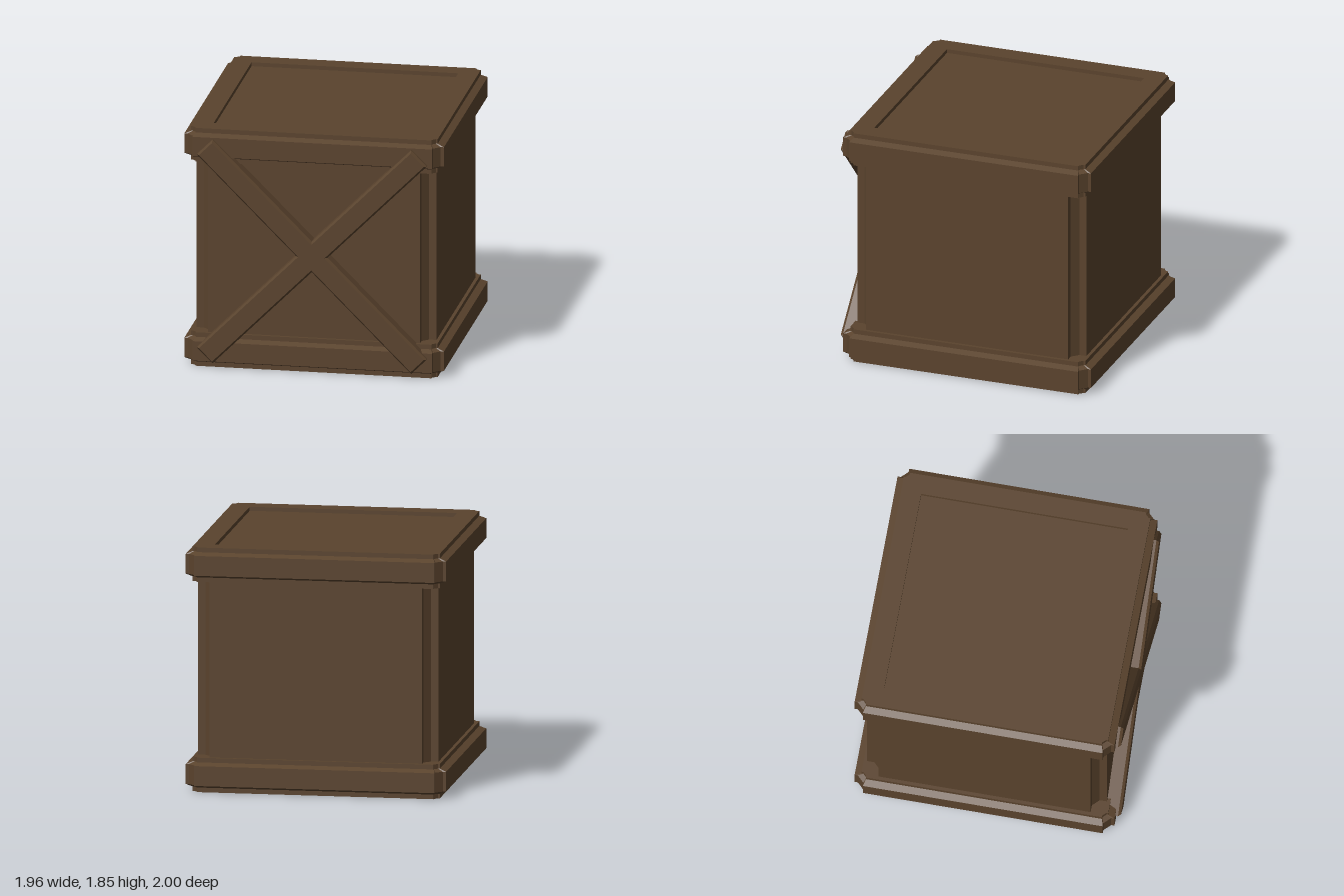
import * as THREE from 'three';

const wood = new THREE.MeshStandardMaterial({ color: 0x5a432d });
wood.name = 'dark wood';

// Square outline of half width h; corners notched by c, with a chamfered inner corner of step s
function ring([y, h, c, s]) {
  const points = [];
  let corner = [[h, h - c], [h - s, h - c], [h - c, h - s], [h - c, h]];
  for (let k = 0; k < 4; k++) {
    corner.forEach(([x, z]) => points.push([x, y, z]));
    corner = corner.map(([x, z]) => [-z, x]);
  }
  return points;
}

// Stacks the outlines from bottom to top, with caps at both ends
function stack(name, levels) {
  const rings = levels.map(ring);
  const pos = [];
  const tri = (...corners) => corners.forEach((p) => pos.push(...p));
  const last = rings.length - 1;
  const low = [0, levels[0][0], 0];
  const high = [0, levels[last][0], 0];
  for (let i = 0; i < 16; i++) {
    const j = (i + 1) % 16;
    for (let r = 0; r < last; r++) {
      const a = rings[r], b = rings[r + 1];
      tri(a[i], b[i], b[j]);
      tri(a[i], b[j], a[j]);
    }
    tri(rings[0][i], rings[0][j], low);
    tri(rings[last][i], high, rings[last][j]);
  }
  const geometry = new THREE.BufferGeometry();
  geometry.setAttribute('position', new THREE.Float32BufferAttribute(pos, 3));
  geometry.computeVertexNormals();
  const mesh = new THREE.Mesh(geometry, wood);
  mesh.name = name;
  return mesh;
}

// Bevelled band: narrow lips below and above a wide middle
function band(y) {
  const lip = [0.93, 0.04, 0.013], wide = [0.98, 0.075, 0.025];
  return [
    [y, ...lip], [y + 0.035, ...lip], [y + 0.055, ...wide],
    [y + 0.205, ...wide], [y + 0.225, ...lip], [y + 0.26, ...lip],
  ];
}

// Crossed boards in one piece, bevelled at the front
function crossBrace() {
  const w = 0.07, l = 1.13;
  const shape = new THREE.Shape();
  let arm = [[w, w], [l, w], [l, -w], [w, -w]].reverse().slice(0, 3);
  const points = [];
  for (let k = 0; k < 4; k++) {
    points.push(...arm.map(([x, y]) => new THREE.Vector2(x, y)));
    arm = arm.map(([x, y]) => [-y, x]);
  }
  shape.setFromPoints(points);
  shape.closePath();
  const geometry = new THREE.ExtrudeGeometry(shape, {
    depth: 0.095, bevelEnabled: true, bevelSegments: 1, bevelSize: 0.014, bevelThickness: 0.02,
  });
  const mesh = new THREE.Mesh(geometry, wood);
  mesh.name = 'crossBrace';
  mesh.rotation.z = Math.PI / 4;
  mesh.position.set(0, 0.915, 0.885);
  return mesh;
}

export function createModel() {
  const model = new THREE.Group();
  model.name = 'crate';

  const box = new THREE.Group();
  box.name = 'box';
  box.position.z = -0.02;
  box.add(stack('body', [[0.2, 0.905, 0.105, 0.055], [1.65, 0.905, 0.105, 0.055]]));
  box.add(stack('baseBand', band(0)));
  // Lid with a sunken panel on top
  box.add(stack('lid', [...band(1.587), [1.847, 0.78, 0, 0], [1.817, 0.78, 0, 0]]));

  model.add(box, crossBrace());
  return model;
}
